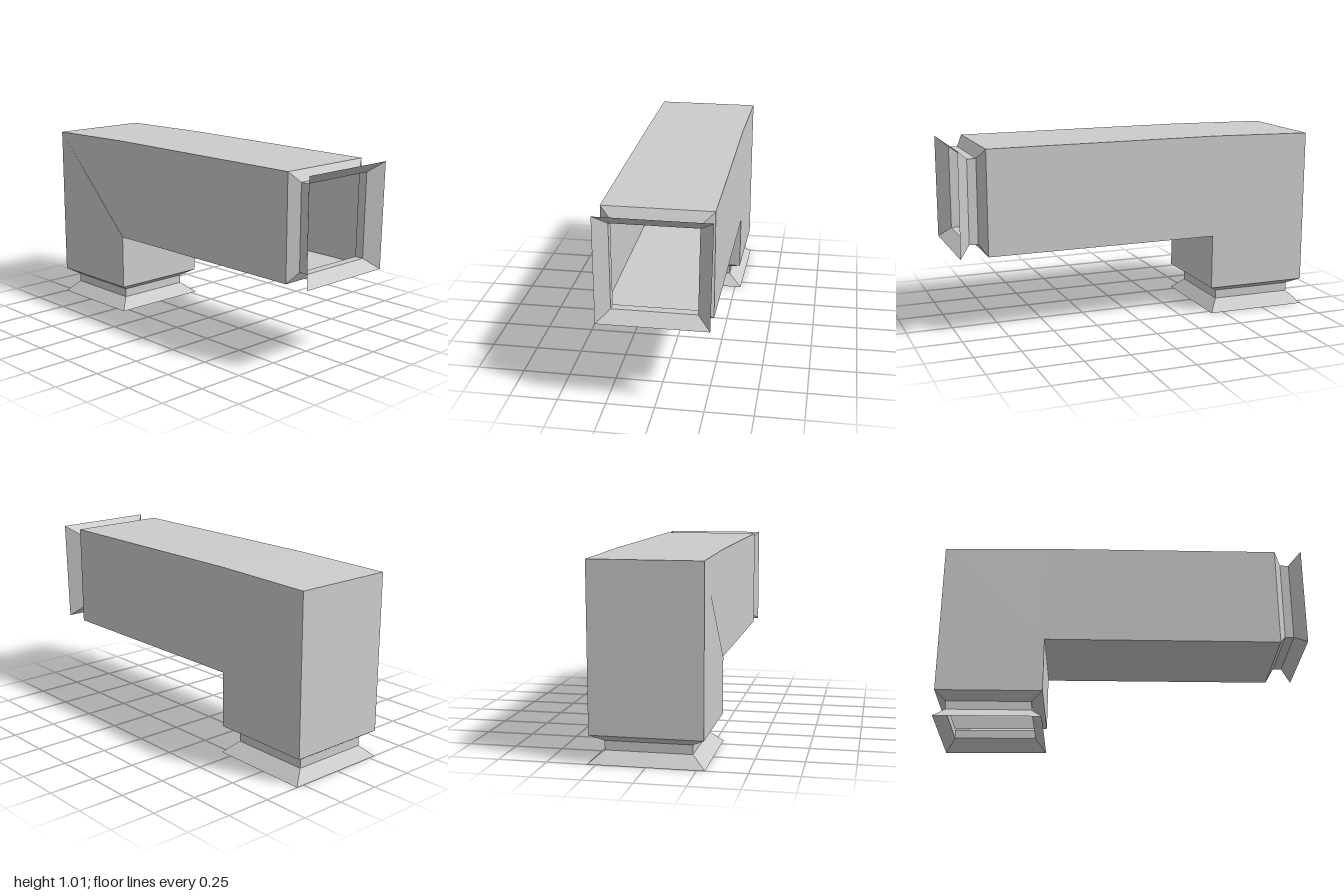
import * as THREE from 'three';

// Each section: outer (x, y), inner (x, y), front z, back z at the outer and inner edge
const sections = [
  [-1, 0, -0.43, 0, 0.29, -0.295, -0.285],         // lower flange lip
  [-0.945, 0.062, -0.49, 0.062, 0.223, -0.218, -0.21],
  [-0.945, 0.11, -0.49, 0.11, 0.223, -0.218, -0.21],
  [-1, 0.147, -0.43, 0.147, 0.286, -0.285, -0.277], // lower end of the body
  [-1, 1.005, -0.43, 0.45, 0.286, -0.288, -0.279],  // mitred elbow
  [-0.43, 1.015, -0.43, 0.45, 0.283, -0.28, -0.279],
  [0.853, 1.015, 0.853, 0.45, 0.28, -0.28, -0.277], // side end of the body
  [0.89, 0.96, 0.89, 0.507, 0.223, -0.218, -0.21],
  [0.938, 0.96, 0.938, 0.507, 0.223, -0.218, -0.21],
  [1, 1.015, 1, 0.45, 0.29, -0.29, -0.277],        // side flange lip
];

// Four corners of a rectangular section
function corners([ox, oy, ix, iy, front, backOuter, backInner]) {
  return [[ox, oy, front], [ix, iy, front], [ix, iy, backInner], [ox, oy, backOuter]];
}

// Open-ended flat-sided sheet through consecutive sections
function loft(rows) {
  const points = [];
  const rings = rows.map(corners);
  for (let i = 0; i < rings.length - 1; i++) {
    const a = rings[i], b = rings[i + 1];
    for (let j = 0; j < 4; j++) {
      const k = (j + 1) % 4;
      points.push(...a[j], ...a[k], ...b[k], ...a[j], ...b[k], ...b[j]);
    }
  }
  const geometry = new THREE.BufferGeometry();
  geometry.setAttribute('position', new THREE.Float32BufferAttribute(points, 3));
  geometry.computeVertexNormals();
  return geometry;
}

export function createModel() {
  const group = new THREE.Group();
  group.name = 'elbowDuct';
  const metal = new THREE.MeshStandardMaterial({
    color: 0xcccccc, side: THREE.DoubleSide, flatShading: true,
  });
  metal.name = 'lightGrey';

  // Lower collar, bent body and side collar share their end sections
  const parts = { lowerCollar: [0, 3], ductBody: [3, 6], sideCollar: [6, 9] };
  for (const [name, [first, last]] of Object.entries(parts)) {
    const mesh = new THREE.Mesh(loft(sections.slice(first, last + 1)), metal);
    mesh.name = name;
    group.add(mesh);
  }
  return group;
}
